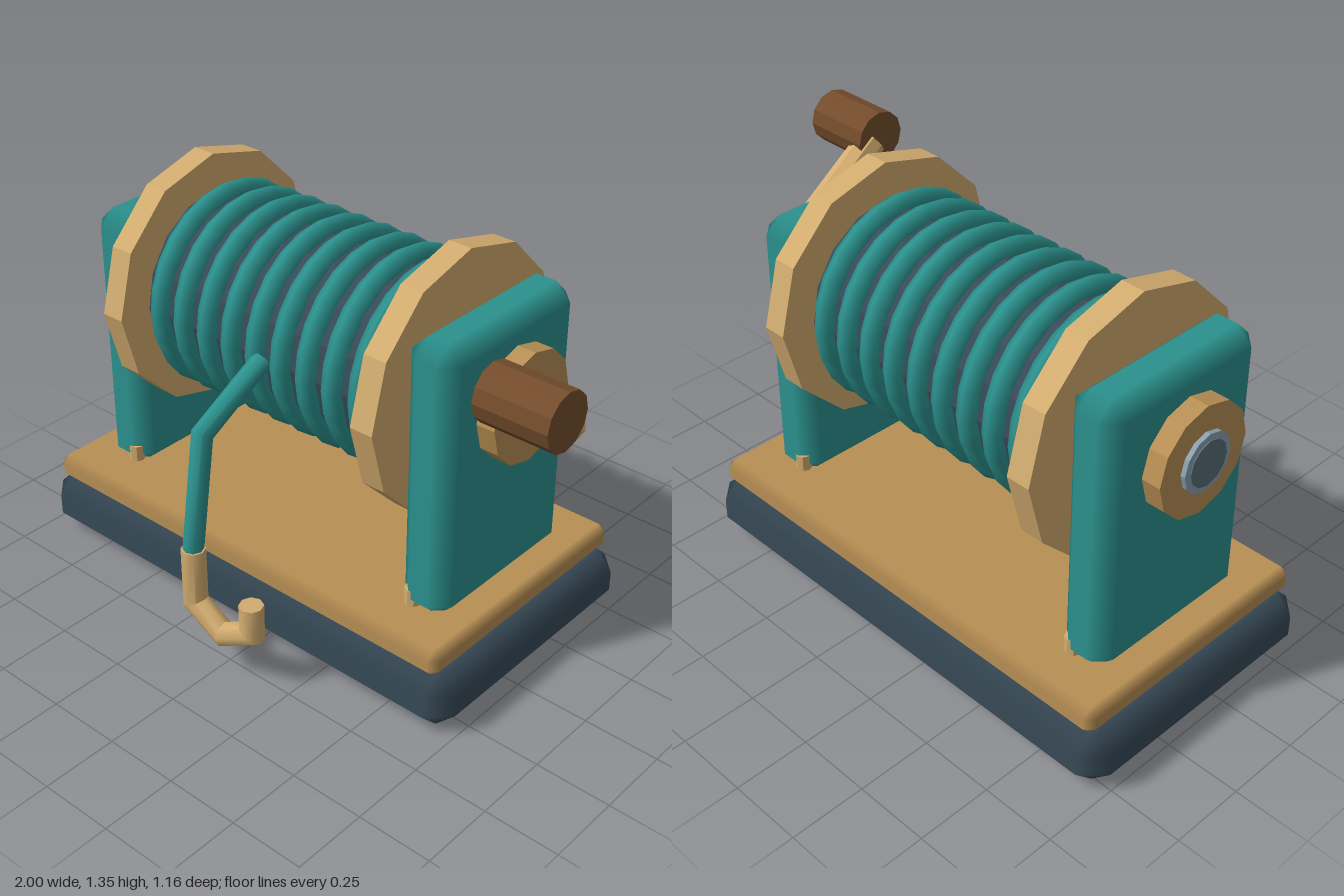
import * as THREE from 'three';
import { ConvexGeometry } from 'three/addons/geometries/ConvexGeometry.js';
import { toCreasedNormals } from 'three/addons/utils/BufferGeometryUtils.js';

const mat = (name, color) => {
  const m = new THREE.MeshStandardMaterial({ color });
  m.name = name;
  return m;
};

export function createModel() {
  const teal = mat('teal', 0x2b918d), slate = mat('slate', 0x374a57), oak = mat('oak', 0xb88f54);
  const brass = mat('pale brass', 0xd2ac6f), walnut = mat('walnut', 0x744c2c);
  const steel = mat('steel', 0x8aa0ae), darkSteel = mat('dark steel', 0x5a6b78);
  const group = new THREE.Group();
  const CX = -0.13, AY = 0.92, AZ = -0.1; // middle of the winch and its axle line

  const add = (name, geometry, material, x = 0, y = 0, z = 0) => {
    const mesh = new THREE.Mesh(geometry, material);
    mesh.name = name;
    mesh.position.set(x, y, z);
    group.add(mesh);
    return mesh;
  };
  const flat = (g) => {
    const f = g.toNonIndexed();
    f.computeVertexNormals();
    return f;
  };

  // Box with one-step bevels: flat faces, softly shaded edges
  const bevelBox = (w, h, d, b) => {
    const half = [w / 2, h / 2, d / 2], pts = [];
    for (const sx of [-1, 1]) for (const sy of [-1, 1]) for (const sz of [-1, 1])
      for (let k = 0; k < 3; k++) {
        const p = [sx, sy, sz].map((s, i) => s * (half[i] - (i === k ? 0 : b)));
        pts.push(new THREE.Vector3(...p));
      }
    const g = new ConvexGeometry(pts);
    const pos = g.attributes.position, nor = g.attributes.normal;
    for (let i = 0; i < pos.count; i++) {
      const p = [pos.getX(i), pos.getY(i), pos.getZ(i)];
      nor.setXYZ(i, ...p.map((v, k) => (Math.abs(Math.abs(v) - half[k]) < 1e-4 ? Math.sign(v) : 0)));
    }
    return g;
  };

  // Cylinder lying along x, from x0 to x1
  const axial = (name, r, x0, x1, sides, material, y = AY, z = AZ) =>
    add(name, flat(new THREE.CylinderGeometry(r, r, x1 - x0, sides).rotateZ(Math.PI / 2)),
      material, (x0 + x1) / 2, y, z);

  // Mitred tube along a path that lies in the plane with the given normal
  const bentTube = (path, normal, r, sides) => {
    const pts = path.map((p) => new THREE.Vector3(...p)), n = pts.length;
    const pos = [], idx = [];
    pts.forEach((p, i) => {
      const a = pts[Math.max(i, 1)].clone().sub(pts[Math.max(i, 1) - 1]).normalize();
      const j = Math.min(i, n - 2);
      const t = pts[j + 1].clone().sub(pts[j]).normalize().add(a).normalize();
      const side = normal.clone().cross(t).multiplyScalar(1 / t.dot(a));
      for (let k = 0; k < sides; k++) {
        const q = (k / sides) * Math.PI * 2;
        const v = p.clone().addScaledVector(side, r * Math.cos(q)).addScaledVector(normal, -r * Math.sin(q));
        pos.push(v.x, v.y, v.z);
      }
    });
    for (let i = 0; i < n - 1; i++)
      for (let k = 0; k < sides; k++) {
        const a = i * sides + k, b = i * sides + ((k + 1) % sides);
        idx.push(a, b, a + sides, b, b + sides, a + sides);
      }
    const end = (n - 1) * sides;
    for (let k = 1; k < sides - 1; k++) idx.push(0, k + 1, k, end, end + k, end + k + 1);
    // Make the winding face outwards
    const e = [0, 1, sides].map((i) => new THREE.Vector3().fromArray(pos, i * 3));
    const out = e[1].clone().sub(e[0]).cross(e[2].clone().sub(e[0]));
    if (out.dot(e[0].clone().sub(pts[0])) < 0) idx.reverse();
    const g = new THREE.BufferGeometry();
    g.setAttribute('position', new THREE.Float32BufferAttribute(pos, 3));
    g.setIndex(idx);
    return toCreasedNormals(g, 0.85);
  };

  // Base
  add('base', bevelBox(1.74, 0.21, 0.955, 0.07), slate, CX, 0.105, -0.1);
  add('deck', bevelBox(1.645, 0.09, 0.905, 0.027), oak, CX, 0.245, -0.0975);

  // Both ends: support, flange, hub and corner bolts
  for (const s of [-1, 1]) {
    const span = (name, r, a, b, sides, m) =>
      axial(name, r, CX + Math.min(s * a, s * b), CX + Math.max(s * a, s * b), sides, m);
    add('support', bevelBox(0.18, 0.93, 0.62, 0.055), teal, CX + s * 0.64, 0.725, AZ);
    span('flange', 0.428, 0.472, 0.553, 12, brass);
    span('hub', 0.18, 0.7, 0.793, 12, oak);
    for (const z of [0.187, -0.387])
      add('bolt', flat(new THREE.CylinderGeometry(0.027, 0.027, 0.06, 8)), brass, CX + s * 0.605, 0.315, z);
  }

  // Drum and axle
  axial('drum', 0.308, -0.62, 0.36, 16, slate);
  axial('axle', 0.096, -0.938, 0.695, 12, steel);
  axial('axleCap', 0.075, -0.942, -0.93, 12, darkSteel);

  // Nine turns of cable
  for (let i = 0; i < 9; i++)
    add('cableTurn', new THREE.TorusGeometry(0.315, 0.035, 6, 24).rotateY(Math.PI / 2),
      teal, CX + (i - 4) * 0.1025, AY, AZ);

  // Loose cable end and hook
  add('cableEnd', bentTube([[-0.1, 0.925, 0.22], [-0.1, 0.785, 0.48], [-0.1, 0.4, 0.54]],
    new THREE.Vector3(1, 0, 0), 0.033, 8), teal);
  add('hook', bentTube([[-0.1, 0.405, 0.54], [-0.1, 0.205, 0.54], [0.02, 0.137, 0.54],
    [0.14, 0.205, 0.54], [0.14, 0.31, 0.54]], new THREE.Vector3(0, 0, 1), 0.039, 8), brass);

  // Crank
  axial('crankShaft', 0.065, 0.68, 0.785, 8, brass);
  const a = new THREE.Vector3(0.787, 0.905, -0.115), b = new THREE.Vector3(0.787, 1.15, 0.225);
  const arm = add('crankArm', flat(new THREE.CylinderGeometry(0.05, 0.05, a.distanceTo(b), 8)), brass);
  arm.position.copy(a).lerp(b, 0.5);
  arm.quaternion.setFromUnitVectors(new THREE.Vector3(0, 1, 0), b.clone().sub(a).normalize());
  axial('crankHandle', 0.09, 0.758, 1, 12, walnut, 1.165, 0.238);

  return group;
}
